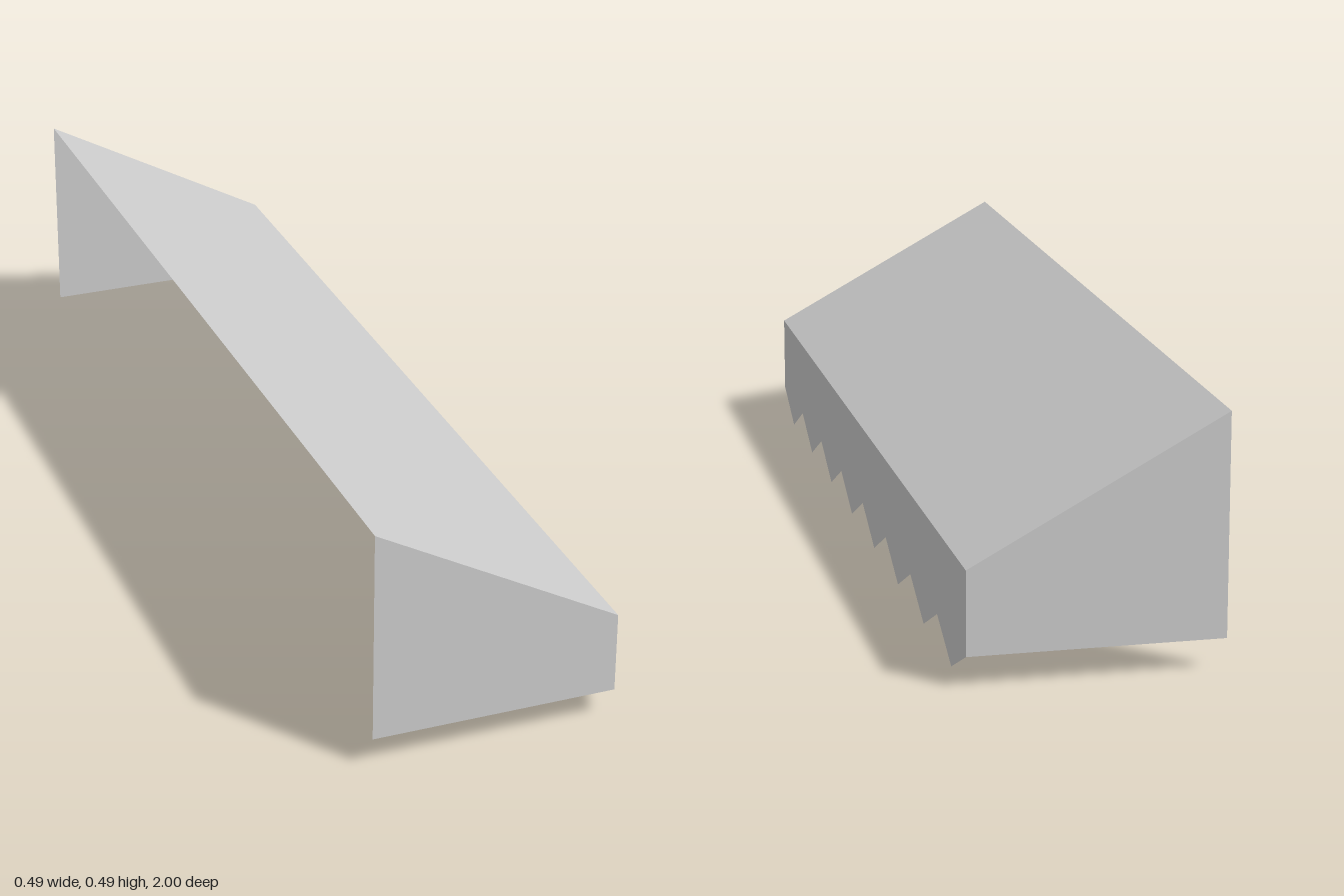
import * as THREE from 'three';

const HALF_W = 0.243, HALF_L = 1, HIGH = 0.487, LOW = 0.222, HEM = 0.06, TEETH = 8;

export function createModel() {
  const group = new THREE.Group();
  group.name = 'awning';
  const canvas = new THREE.MeshStandardMaterial({ color: 0xcccccc, side: THREE.DoubleSide });
  canvas.name = 'grey canvas';

  const addSheet = (name, points) => {
    const shape = new THREE.Shape(points.map(([x, y]) => new THREE.Vector2(x, y)));
    const mesh = new THREE.Mesh(new THREE.ShapeGeometry(shape), canvas);
    mesh.name = name;
    group.add(mesh);
    return mesh;
  };

  // Sloping roof sheet, laid flat and then tilted down towards +x
  const drop = HIGH - LOW;
  const halfSlope = Math.hypot(2 * HALF_W, drop) / 2;
  const roof = new THREE.PlaneGeometry(2 * halfSlope, 2 * HALF_L);
  roof.rotateX(-Math.PI / 2);
  roof.rotateZ(-Math.atan2(drop, 2 * HALF_W));
  roof.translate(0, (HIGH + LOW) / 2, 0);
  const roofMesh = new THREE.Mesh(roof, canvas);
  roofMesh.name = 'roof';
  group.add(roofMesh);

  // Tapered end panels; the one at the back faces -z
  const profile = [[-HALF_W, HEM], [HALF_W, HEM], [HALF_W, LOW], [-HALF_W, HIGH]];
  addSheet('frontEndPanel', profile).position.z = HALF_L;
  const back = addSheet('backEndPanel', profile.map(([x, y]) => [-x, y]));
  back.rotation.y = Math.PI;
  back.position.z = -HALF_L;

  // Valance with a zigzag hem along the low edge
  const hem = [];
  for (let i = 0; i <= 2 * TEETH; i++) {
    hem.push([-HALF_L + (i * HALF_L) / TEETH, i % 2 ? 0 : HEM]);
  }
  const valance = addSheet('valance', [...hem, [HALF_L, LOW], [-HALF_L, LOW]]);
  valance.rotation.y = Math.PI / 2;
  valance.position.x = HALF_W;

  return group;
}
